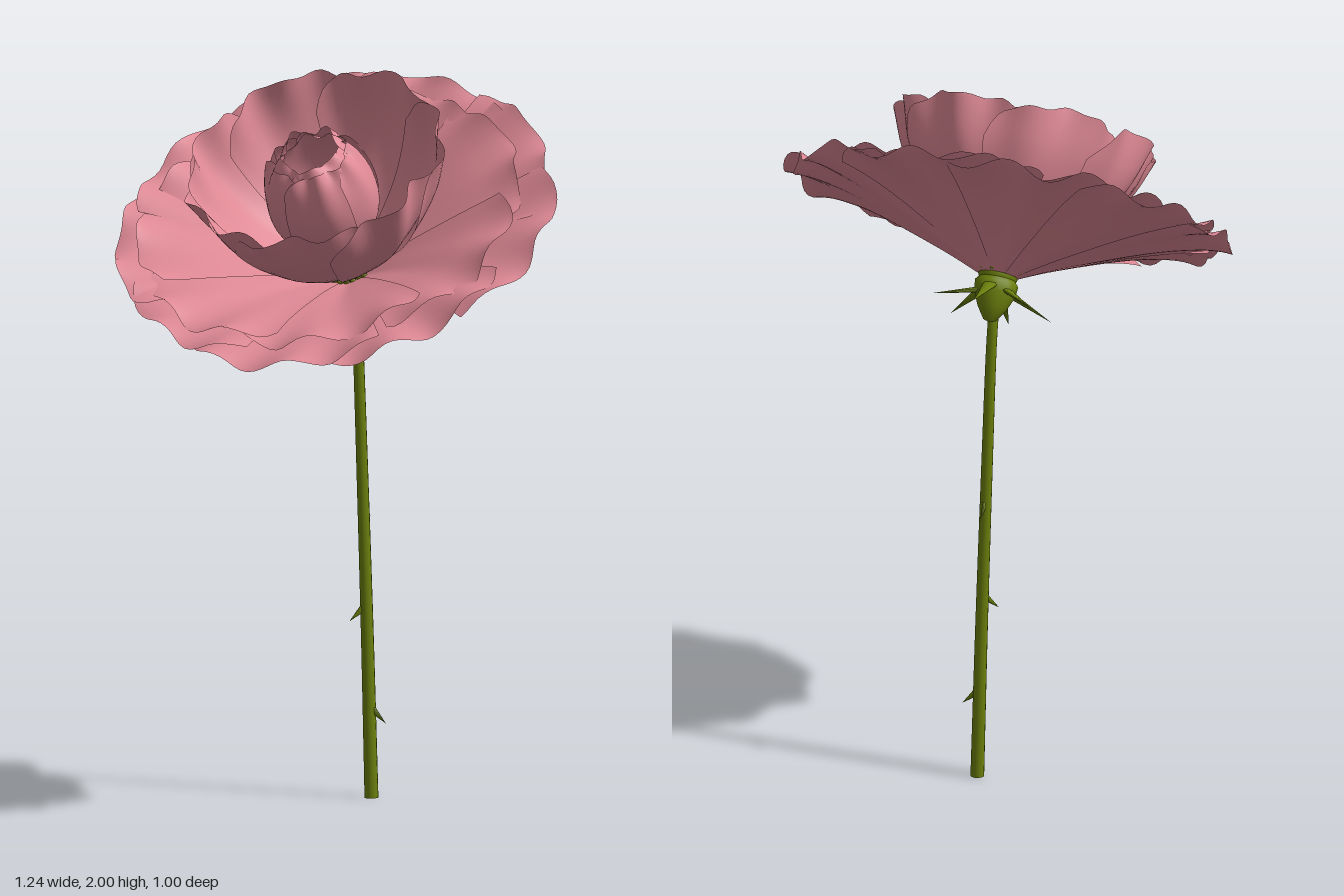
import * as THREE from 'three';

const petalPink = new THREE.MeshStandardMaterial({ color: 0xe08a96, side: THREE.DoubleSide });
petalPink.name = 'petalPink';
const leafGreen = new THREE.MeshStandardMaterial({ color: 0x6c800c });
leafGreen.name = 'leafGreen';

function part(name, geometry, material, parent) {
  const mesh = new THREE.Mesh(geometry, material);
  mesh.name = name;
  parent.add(mesh);
  return mesh;
}

// One petal: a sector swept along a (radius, height) profile, with rounded, ruffled rim
function petalGeometry(profile, half, o) {
  const curve = new THREE.SplineCurve(profile.map(p => new THREE.Vector2(...p)));
  const NU = 28, NV = 18, pos = [], idx = [];
  for (let j = 0; j <= NV; j++) {
    for (let i = 0; i <= NU; i++) {
      const u = (i / NU) * 2 - 1, v = j / NV;
      const rim = 1 - o.round * Math.pow(Math.abs(u), 3.5)
        + o.ruffle * 0.6 * Math.sin(u * 7 + o.seed * 2.3) + o.ruffle * 0.5 * Math.sin(u * 15 + o.seed);
      const t = Math.min(1, v * rim * 0.97);
      const p = curve.getPoint(t), d = curve.getTangent(t);
      // offset along the surface normal: overlap, mid fold and rim waves
      const off = o.lift * u * t
        - o.fold * Math.exp(-u * u * 12) * t * (1 - t * 0.6)
        + o.ruffle * t ** 4 * Math.sin(u * 8 + o.seed * 1.7);
      const r = Math.max(0.002, p.x - d.y * off), h = p.y + d.x * off;
      const a = u * half;
      pos.push(r * Math.sin(a), h, r * Math.cos(a));
      if (i < NU && j < NV) {
        const k = j * (NU + 1) + i;
        idx.push(k, k + 1, k + NU + 1, k + 1, k + NU + 2, k + NU + 1);
      }
    }
  }
  const g = new THREE.BufferGeometry();
  g.setAttribute('position', new THREE.Float32BufferAttribute(pos, 3));
  g.setIndex(idx);
  g.computeVertexNormals();
  return g;
}

// A whorl of overlapping petals; oval shortens the front and, more so, the back ones
function whorl(name, n, profile, spread, phase, o, parent) {
  const group = new THREE.Group();
  group.name = name;
  for (let i = 0; i < n; i++) {
    const seed = i * 1.9 + phase * 5, angle = phase + i / n * Math.PI * 2;
    const c = Math.cos(angle);
    const size = (1 + 0.02 * Math.sin(seed * 3.1)) * (1 - o.oval * (Math.abs(c) + Math.max(0, -c) * 0.4));
    const g = petalGeometry(profile.map(([r, h]) => [r * size, h]), Math.PI / n * spread, { ...o, seed });
    part('petal', g, petalPink, group).rotation.y = angle;
  }
  parent.add(group);
  return group;
}

function createModel() {
  const model = new THREE.Group();
  model.name = 'flower';

  // Stem: a tapering tube that bends into the bloom
  const path = new THREE.CatmullRomCurve3([
    [0.044, 0, -0.166], [0.031, 0.45, -0.167], [0.016, 0.9, -0.167],
    [0.004, 1.25, -0.165], [0.001, 1.33, -0.16], [0, 1.4, -0.145],
  ].map(p => new THREE.Vector3(...p)));
  const SEG = 40, SIDES = 12;
  const stem = new THREE.TubeGeometry(path, SEG, 0.019, SIDES);
  const sp = stem.attributes.position, v = new THREE.Vector3();
  for (let i = 0; i < sp.count; i++) {
    const t = Math.floor(i / (SIDES + 1)) / SEG;
    const c = path.getPointAt(t);
    v.fromBufferAttribute(sp, i).sub(c).multiplyScalar(1 - 0.25 * t).add(c);
    sp.setXYZ(i, v.x, Math.max(0, v.y), v.z);
  }
  part('stem', stem, leafGreen, model);
  const foot = part('stemFoot', new THREE.CircleGeometry(0.019, SIDES), leafGreen, model);
  foot.rotation.x = Math.PI / 2;
  foot.position.set(0.044, 0.001, -0.166);

  // Thorns: small cones leaning outward and down; [x, y, z, heading]
  for (const [x, y, z, a] of [
    [0.055, 0.235, -0.166, 0], [0.017, 0.515, -0.155, -2.4], [0.019, 0.795, -0.183, 1.6],
  ]) {
    const holder = new THREE.Group();
    holder.name = 'thorn';
    holder.position.set(x, y, z);
    holder.rotation.y = a;
    const cone = part('thornSpike', new THREE.ConeGeometry(0.014, 0.065, 6), leafGreen, holder);
    cone.rotation.z = -2.3;
    cone.position.set(0.008, -0.006, 0);
    cone.scale.z = 0.6;
    model.add(holder);
  }

  // Bloom, tilted toward the front
  const bloom = new THREE.Group();
  bloom.name = 'bloom';
  bloom.position.set(0, 1.44, -0.13);
  bloom.rotation.x = 0.59;
  model.add(bloom);

  // Calyx funnel
  const bulb = [[0.001, -0.115], [0.018, -0.108], [0.04, -0.075], [0.057, -0.035], [0.06, -0.005], [0.04, 0.02]];
  part('calyx', new THREE.LatheGeometry(bulb.map(p => new THREE.Vector2(...p)), 16), leafGreen, bloom);

  // Sepals: flattened pointed blades, drooping outward
  for (let i = 0; i < 6; i++) {
    const sepal = new THREE.Group();
    sepal.name = 'sepal';
    sepal.rotation.y = i / 6 * Math.PI * 2;
    const blade = part('sepalBlade', new THREE.ConeGeometry(0.024, 0.15, 8), leafGreen, sepal);
    blade.scale.z = 0.4;
    blade.rotation.x = Math.PI / 2 + 0.45 + 0.15 * Math.sin(i * 2.4);
    blade.position.set(0, -0.05, 0.1);
    bloom.add(sepal);
  }

  // Stamens: beaded green rings on a dome
  const dome = part('receptacle', new THREE.SphereGeometry(0.056, 16, 10), leafGreen, bloom);
  dome.scale.y = 0.9;
  dome.position.y = 0.025;
  for (const [count, r, h] of [[22, 0.062, 0.035], [16, 0.048, 0.068]]) {
    for (let i = 0; i < count; i++) {
      const a = i / count * Math.PI * 2;
      const bead = part('stamen', new THREE.SphereGeometry(0.009, 8, 6), leafGreen, bloom);
      bead.position.set(r * Math.sin(a), h + 0.005 * Math.sin(i * 2.7), r * Math.cos(a));
    }
  }

  // Petal whorls, from the wide outer disc to the half-open heart
  whorl('outerPetals', 9, [[0.03, 0.005], [0.18, 0.075], [0.4, 0.16], [0.55, 0.205], [0.635, 0.222]],
    1.45, 0.1, { round: 0.13, ruffle: 0.024, lift: 0.014, fold: 0.02, oval: 0.06 }, bloom);
  whorl('middlePetals', 7, [[0.03, 0.012], [0.17, 0.085], [0.36, 0.168], [0.48, 0.21], [0.56, 0.235]],
    1.3, 0.35, { round: 0.18, ruffle: 0.024, lift: 0.018, fold: 0.018, oval: 0.05 }, bloom);
  whorl('cupPetals', 7, [[0.056, 0.055], [0.13, 0.1], [0.235, 0.195], [0.312, 0.32], [0.352, 0.45]],
    1.5, 0.2, { round: 0.2, ruffle: 0.02, lift: 0.016, fold: 0.01, oval: 0.01 }, bloom);
  const bud = whorl('budPetals', 5, [[0.025, 0.07], [0.09, 0.15], [0.143, 0.25], [0.148, 0.34], [0.125, 0.42], [0.095, 0.465]],
    1.4, 0.6, { round: 0.18, ruffle: 0.012, lift: 0.008, fold: 0.002, oval: 0 }, bloom);
  const heart = whorl('heartPetals', 3, [[0.02, 0.1], [0.09, 0.18], [0.128, 0.28], [0.128, 0.36], [0.1, 0.44], [0.07, 0.47]],
    1.25, Math.PI, { round: 0.16, ruffle: 0.012, lift: 0.008, fold: 0.002, oval: 0 }, bloom);
  bud.position.z = heart.position.z = 0.015;

  return model;
}

export { createModel };
